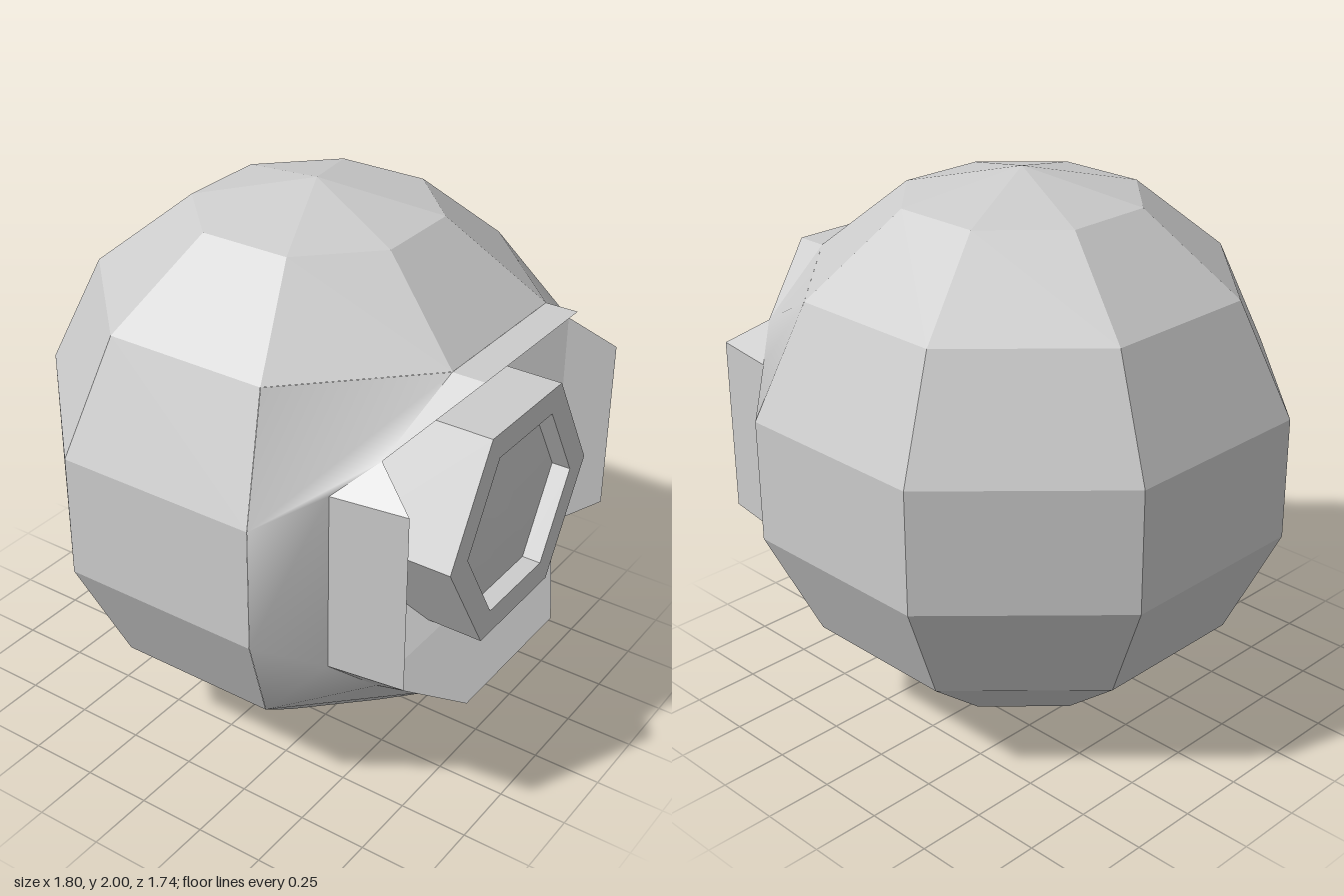
import * as THREE from 'three';
import { mergeVertices } from 'three/addons/utils/BufferGeometryUtils.js';

const CY = 1, CZ = 0.03; // ball centre

// Key points of the upper left quarter of the socket; y is relative to the ball centre
const P = {
  side: [0.9, 0.222, 0.403],   // ball, side panel corner
  brow: [0.722, 0.623, 0.33],  // ball, upper side corner
  top: [0.3, 0.623, 0.752],    // ball, upper front corner
  lid: [0.3, 0.623, 0.87],     // lid tip
  corner: [0.6, 0.43, 0.695],  // rim corner of the socket
  root: [0.72, 0.325, 0.583],  // outer root of the side fin
  fin: [0.683, 0.325, 0.85],   // side fin tip
  deep: [0.373, 0.222, 0.45],  // socket floor corner
};
const at = (name, sx, sy) => [P[name][0] * sx, CY + P[name][1] * sy, P[name][2]];

// Fan-triangulates polygons of points into a mesh
function polyMesh(name, polys, smooth) {
  const pos = [];
  for (const p of polys)
    for (let i = 1; i < p.length - 1; i++) pos.push(...p[0], ...p[i], ...p[i + 1]);
  let g = new THREE.BufferGeometry();
  g.setAttribute('position', new THREE.Float32BufferAttribute(pos, 3));
  if (smooth) g = mergeVertices(g, 1e-4);
  g.computeVertexNormals();
  return makeMesh(name, g, !smooth);
}

function makeMesh(name, geometry, flatShading) {
  const mesh = new THREE.Mesh(geometry, new THREE.MeshStandardMaterial({
    color: 0xcccccc, flatShading, side: THREE.DoubleSide,
  }));
  mesh.name = name;
  return mesh;
}

// Eight-sided ball with the three front panels left out of the middle bands
function ballShell() {
  const src = new THREE.SphereGeometry(1, 8, 7, Math.PI / 8).toNonIndexed().getAttribute('position');
  const polys = [];
  for (let i = 0; i < src.count; i += 3) {
    const tri = [0, 1, 2].map(k => new THREE.Vector3().fromBufferAttribute(src, i + k));
    const c = tri[0].clone().add(tri[1]).add(tri[2]).divideScalar(3);
    const inFront = Math.abs(Math.atan2(c.x, c.z)) < Math.PI * 3 / 8 - 0.01;
    if (inFront && Math.abs(c.y) < 0.62) continue;
    polys.push(tri.map(v => [v.x, v.y + CY, v.z + CZ]));
  }
  return polyMesh('ballShell', polys, false);
}

// Polygon from [name, sy] corners mirrored to side sx
const sidePoly = (sx, list) => {
  const pts = list.map(([n, sy]) => at(n, sx, sy));
  return sx < 0 ? pts.reverse() : pts;
};
// Vertical strip between two points and their lower mirror images
const strip = (sx, a, b) => sidePoly(sx, [[a, 1], [b, 1], [b, -1], [a, -1]]);

export function createModel() {
  const model = new THREE.Group();
  model.name = 'eyeball';
  model.add(ballShell());

  const socket = [];
  for (const sx of [1, -1]) {
    const word = sx > 0 ? 'left' : 'right';
    const cheek = [strip(sx, 'side', 'root')];
    const fin = [strip(sx, 'root', 'fin'), strip(sx, 'fin', 'corner')];
    socket.push(strip(sx, 'corner', 'deep'));
    for (const sy of [1, -1]) {
      const poly = (...names) => {
        const pts = sidePoly(sx, names.map(n => [n, sy]));
        return sy < 0 ? pts.reverse() : pts;
      };
      cheek.push(poly('brow', 'top', 'corner', 'root', 'side'));
      fin.push(poly('root', 'corner', 'fin'));
    }
    // Cheek panel swelling out to the socket rim, and the side fin
    model.add(polyMesh(word + 'Cheek', cheek, true));
    model.add(polyMesh(word + 'Fin', fin, false));
  }

  // Upper and lower lids with the socket roof and floor behind them
  for (const sy of [1, -1]) {
    const span = (a, b) => {
      const pts = [at(a, 1, sy), at(a, -1, sy), at(b, -1, sy), at(b, 1, sy)];
      return sy < 0 ? pts.reverse() : pts;
    };
    const lid = [span('lid', 'corner'), span('top', 'lid')];
    for (const sx of [1, -1]) {
      const tri = sidePoly(sx, [['top', sy], ['lid', sy], ['corner', sy]]);
      lid.push(sy < 0 ? tri.reverse() : tri);
    }
    model.add(polyMesh(sy > 0 ? 'upperLid' : 'lowerLid', lid, false));
    socket.push(span('corner', 'deep'));
  }
  socket.push([at('deep', 1, 1), at('deep', -1, 1), at('deep', -1, -1), at('deep', 1, -1)]);
  model.add(polyMesh('socket', socket, false));

  // Six-sided eye barrel with a shallow rimmed front, corners pointing sideways
  const barrelProfile = [[0.456, 0.45], [0.456, 0.87], [0.348, 0.87], [0.348, 0.8]];
  const lensProfile = [[0.348, 0.8], [0.2, 0.815], [0, 0.82]];
  const lathe = (pts) => {
    const g = new THREE.LatheGeometry(pts.map(p => new THREE.Vector2(...p)), 6, Math.PI / 2);
    return g.rotateX(Math.PI / 2).translate(0, 0.993, 0);
  };
  model.add(makeMesh('eyeBarrel', lathe(barrelProfile), true));
  model.add(makeMesh('lens', lathe(lensProfile), false));

  return model;
}
